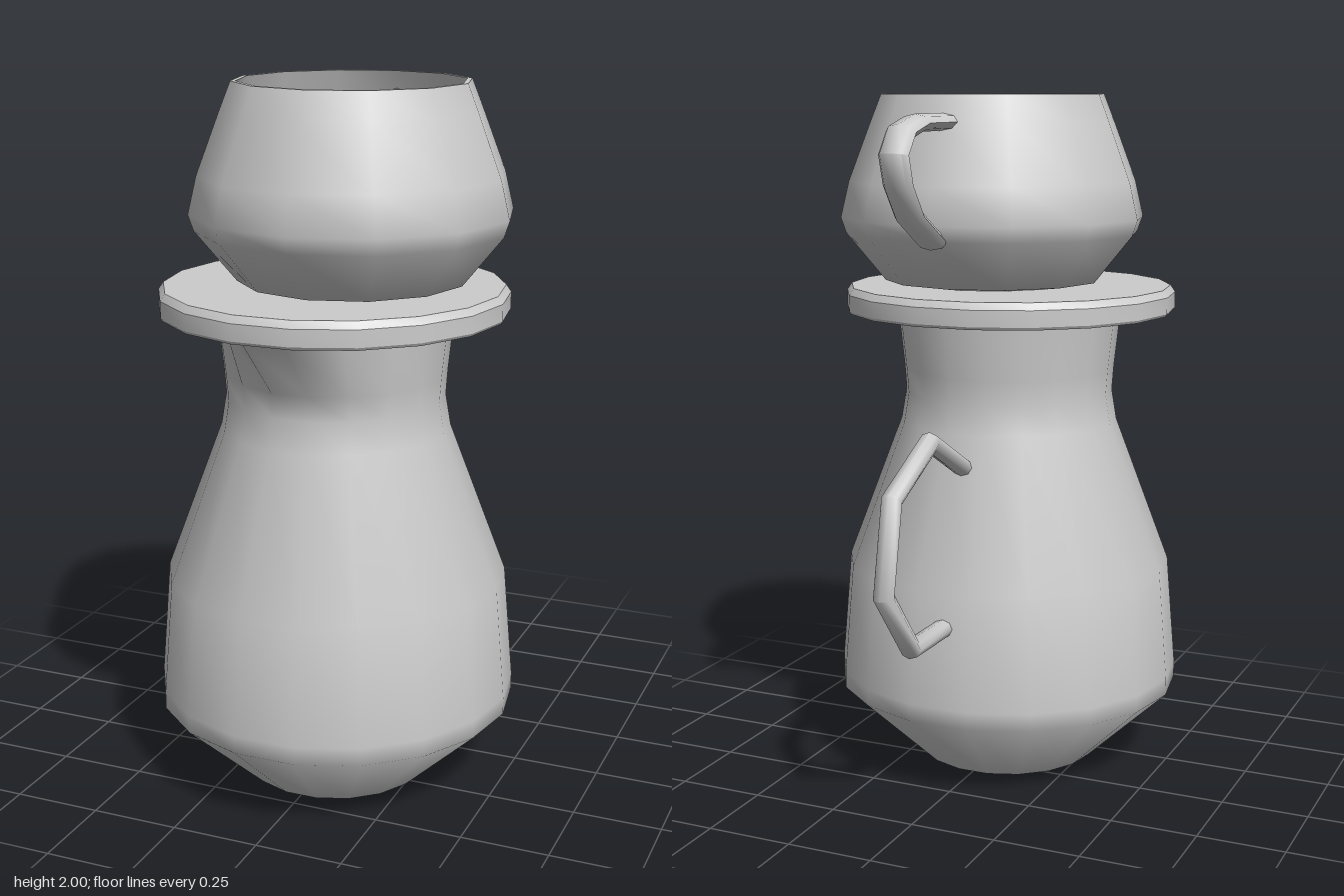
import * as THREE from 'three';
import { toCreasedNormals } from 'three/addons/utils/BufferGeometryUtils.js';

const material = new THREE.MeshStandardMaterial({ color: 0xcccccc });

// Turned body from [radius, height] points, with a corner on the +x axis
function turned(profile, sides) {
  const points = profile.map(([r, y]) => new THREE.Vector2(r, y));
  return new THREE.LatheGeometry(points, sides, Math.PI / 2);
}

// Mitred tube along [z, y] points, with an elliptical section and capped ends
function handleGeometry(path, halfWidth, halfDepth, sides = 8) {
  const pts = path.map(([z, y]) => new THREE.Vector2(z, y));
  const last = pts.length - 1;
  const positions = [];
  const index = [];
  pts.forEach((p, i) => {
    const before = p.clone().sub(pts[Math.max(i - 1, 0)]).normalize();
    const after = pts[Math.min(i + 1, last)].clone().sub(p).normalize();
    const t = before.clone().add(after).normalize();
    const mitre = 1 / t.dot(i < last ? after : before);
    for (let s = 0; s < sides; s++) {
      const a = (s / sides) * Math.PI * 2;
      const d = Math.sin(a) * halfDepth * mitre;
      positions.push(Math.cos(a) * halfWidth, p.y + t.x * d, p.x - t.y * d);
    }
  });
  for (let i = 0; i < last; i++) {
    for (let s = 0; s < sides; s++) {
      const a = i * sides + s;
      const b = i * sides + ((s + 1) % sides);
      index.push(a, a + sides, b, b, a + sides, b + sides);
    }
  }
  const end = last * sides;
  for (let s = 1; s < sides - 1; s++) {
    index.push(0, s, s + 1, end, end + s + 1, end + s);
  }
  // Flip the winding if the tube came out inside out
  const at = (k) => new THREE.Vector3().fromArray(positions, k * 3);
  const normal = at(sides).sub(at(0)).cross(at(1).sub(at(0)));
  const outward = at(0).sub(new THREE.Vector3(0, pts[0].y, pts[0].x));
  if (normal.dot(outward) < 0) index.reverse();

  const geometry = new THREE.BufferGeometry();
  geometry.setAttribute('position', new THREE.Float32BufferAttribute(positions, 3));
  geometry.setIndex(index);
  return geometry;
}

function addPart(group, name, geometry, x = 0, z = 0, crease = 1) {
  const mesh = new THREE.Mesh(toCreasedNormals(geometry, crease), material);
  mesh.name = name;
  mesh.position.set(x, 0, z);
  group.add(mesh);
}

export function createModel() {
  const model = new THREE.Group();
  model.name = 'pitcherWithCup';
  const centreZ = 0.183;

  // Pitcher body, its front rim pulled forward into a spout
  const body = turned([
    [0.27, 0], [0.515, 0.23], [0.515, 0.28], [0.487, 0.61],
    [0.325, 1.04], [0.31, 1.13], [0.315, 1.2], [0.333, 1.37],
  ], 18);
  const pos = body.attributes.position;
  for (let i = 0; i < pos.count; i++) {
    if (pos.getY(i) < 1.3 || pos.getZ(i) < 0.2) continue;
    const push = Math.abs(pos.getX(i)) < 0.1 ? 0.145 : Math.abs(pos.getX(i)) < 0.2 ? 0.06 : 0;
    pos.setZ(i, pos.getZ(i) + push);
  }
  addPart(model, 'pitcherBody', body, 0, centreZ);

  // Pitcher base
  const base = new THREE.CircleGeometry(0.27, 18).rotateX(Math.PI / 2);
  addPart(model, 'pitcherBase', base, 0, centreZ);

  // Angular pitcher handle
  addPart(model, 'pitcherHandle', handleGeometry([
    [-0.12, 0.93], [-0.38, 1.068], [-0.61, 0.955],
    [-0.662, 0.705], [-0.505, 0.515], [-0.27, 0.515],
  ], 0.031, 0.025), -0.005);

  // Flat lid with bevelled edges
  addPart(model, 'lid', turned([
    [0, 1.37], [0.485, 1.37], [0.49, 1.378], [0.49, 1.425],
    [0.476, 1.445], [0, 1.445],
  ], 18), -0.002, 0.187, 0.5);

  // Hollow cup
  addPart(model, 'cup', turned([
    [0, 1.44], [0.2, 1.443], [0.32, 1.46], [0.435, 1.6], [0.45, 1.645],
    [0.425, 1.75], [0.36, 1.92], [0.328, 2], [0.314, 2],
    [0.345, 1.92], [0.41, 1.75], [0.432, 1.645], [0.415, 1.6],
    [0.31, 1.49], [0.21, 1.468], [0, 1.465],
  ], 12), 0.045, 0.167);

  // Curved cup handle
  addPart(model, 'cupHandle', handleGeometry([
    [-0.16, 1.925], [-0.35, 1.925], [-0.435, 1.903], [-0.48, 1.845],
    [-0.455, 1.765], [-0.39, 1.68], [-0.25, 1.6],
  ], 0.045, 0.024), 0.045);

  return model;
}
